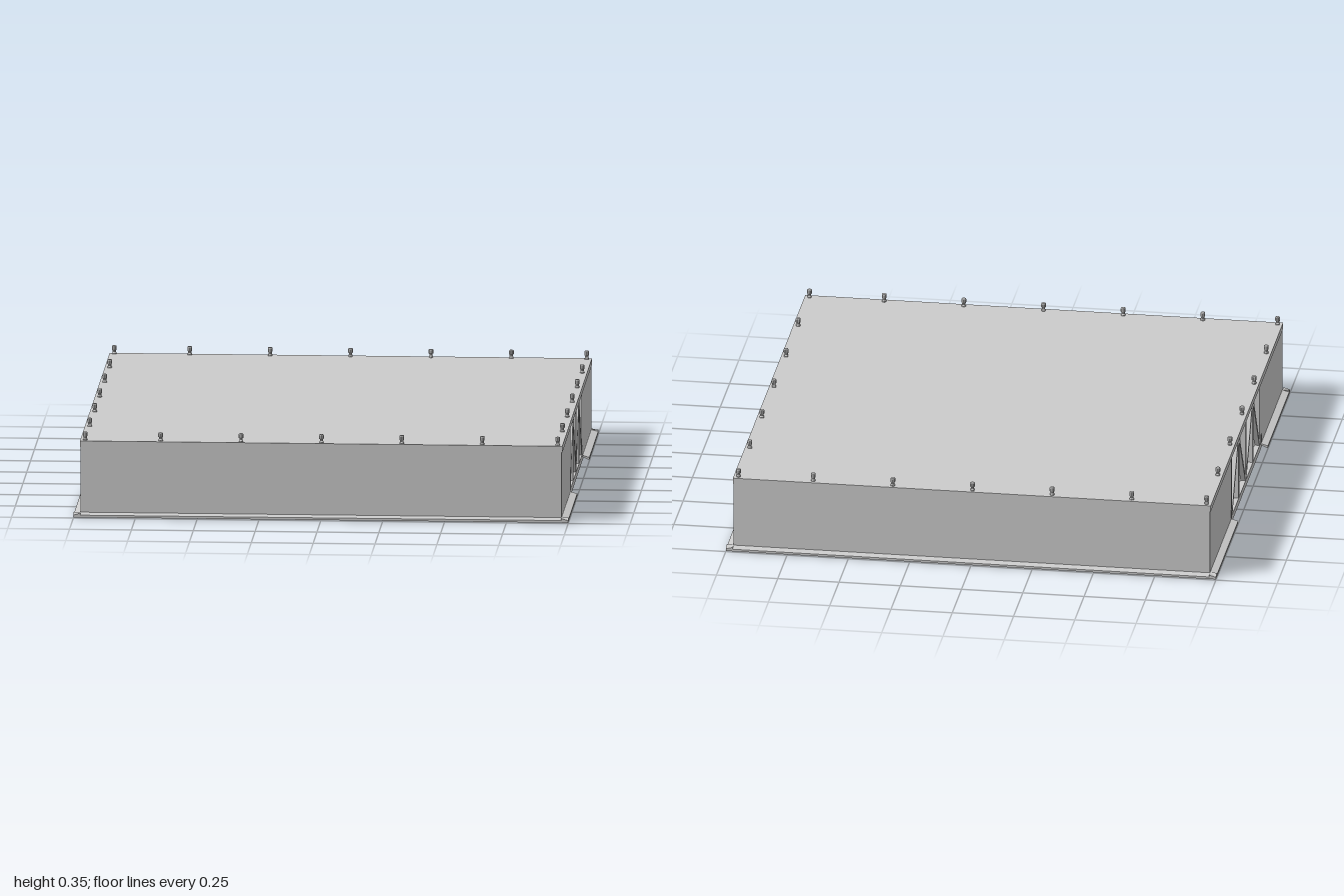
import * as THREE from 'three';

const mat = new THREE.MeshStandardMaterial({ color: 0xcccccc, flatShading: true });

function add(parent, name, geo, x = 0, y = 0, z = 0) {
  const m = new THREE.Mesh(geo, mat);
  m.name = name;
  m.position.set(x, y, z);
  parent.add(m);
  return m;
}

// box given by its min and max corners
function block(parent, name, [x0, y0, z0], [x1, y1, z1]) {
  return add(parent, name, new THREE.BoxGeometry(x1 - x0, y1 - y0, z1 - z0),
    (x0 + x1) / 2, (y0 + y1) / 2, (z0 + z1) / 2);
}

// sloped kerb, hollow below, running along local z with its outer edge towards +x
function kerbGeometry(length) {
  const s = new THREE.Shape([[0, 0.014], [0.022, 0.003], [0.028, 0.003], [0.028, 0.012], [0, 0.02]]
    .map(p => new THREE.Vector2(...p)));
  return new THREE.ExtrudeGeometry(s, { depth: length, bevelEnabled: false }).translate(0, 0, -length / 2);
}

// straight truss bar in the plane of the side opening
function diagonal(parent, z0, y0, z1, y1) {
  const len = Math.hypot(z1 - z0, y1 - y0);
  const bar = add(parent, 'trussDiagonal', new THREE.BoxGeometry(0.02, len, 0.014),
    0.961, (y0 + y1) / 2, (z0 + z1) / 2);
  bar.rotation.x = Math.atan2(z1 - z0, y1 - y0);
}

function createSide() {
  const side = new THREE.Group();
  side.name = 'trussSide';
  // wall panels, kerbs and small brackets on both ends of the opening
  for (const s of [-1, 1]) {
    const a = s > 0 ? 0.402 : -0.974, b = s > 0 ? 0.974 : -0.402;
    block(side, 'sideWall', [0.964, 0, a], [0.972, 0.3, b]);
    add(side, 'sideKerb', kerbGeometry(0.6), 0.972, 0, s * 0.7);
    block(side, 'openingBracket', [0.955, 0.025, s * 0.4 - 0.008], [0.974, 0.06, s * 0.4 + 0.008]);
  }
  // chords, posts and diagonals
  block(side, 'trussTopChord', [0.95, 0.287, -0.405], [0.972, 0.305, 0.405]);
  block(side, 'trussBottomChord', [0.95, 0, -0.405], [0.972, 0.028, 0.405]);
  for (const [z, w] of [[-0.386, 0.032], [-0.19, 0.02], [0, 0.02], [0.19, 0.02], [0.386, 0.032]])
    block(side, 'trussPost', [0.95, 0.02, z - w / 2], [0.971, 0.295, z + w / 2]);
  for (const s of [-1, 1]) {
    diagonal(side, s * 0.368, 0.03, s * 0.2, 0.287);
    diagonal(side, s * 0.18, 0.287, s * 0.008, 0.03);
  }
  return side;
}

export function createModel() {
  const model = new THREE.Group();
  model.name = 'hall';

  // raised floor, roof plate and the fascia under its rim
  block(model, 'floor', [-0.966, 0.014, -0.966], [0.966, 0.02, 0.966]);
  block(model, 'roof', [-0.975, 0.301, -0.975], [0.975, 0.312, 0.975]);
  for (const s of [-1, 1]) {
    add(model, 'roofFascia', new THREE.BoxGeometry(0.015, 0.02, 1.95), s * 0.9675, 0.297, 0);
    add(model, 'roofFascia', new THREE.BoxGeometry(1.95, 0.02, 0.015), 0, 0.297, s * 0.9675);
  }

  // front and back walls with their kerbs
  for (const s of [-1, 1]) {
    add(model, s > 0 ? 'frontWall' : 'backWall', new THREE.BoxGeometry(1.944, 0.3, 0.008), 0, 0.15, s * 0.97);
    const kerb = add(model, s > 0 ? 'frontKerb' : 'backKerb', kerbGeometry(2), 0, 0, s * 0.972);
    kerb.rotation.y = -s * Math.PI / 2;
  }

  // truss sides, one turned half round
  const left = createSide(), right = createSide();
  right.rotation.y = Math.PI;
  model.add(left, right);

  // roof lamps round the edge
  const lampProfile = [[0, 0], [0.009, 0], [0.009, 0.005], [0.007, 0.008], [0.007, 0.015],
    [0.01, 0.017], [0.01, 0.031], [0.008, 0.034], [0, 0.034]].map(p => new THREE.Vector2(...p));
  const lampGeo = new THREE.LatheGeometry(lampProfile, 10);
  const steps = [-0.955, -0.65, -0.325, 0, 0.325, 0.65, 0.955];
  for (const x of steps) for (const z of steps)
    if (Math.abs(x) > 0.9 || Math.abs(z) > 0.9) add(model, 'roofLamp', lampGeo, x, 0.312, z);

  return model;
}
